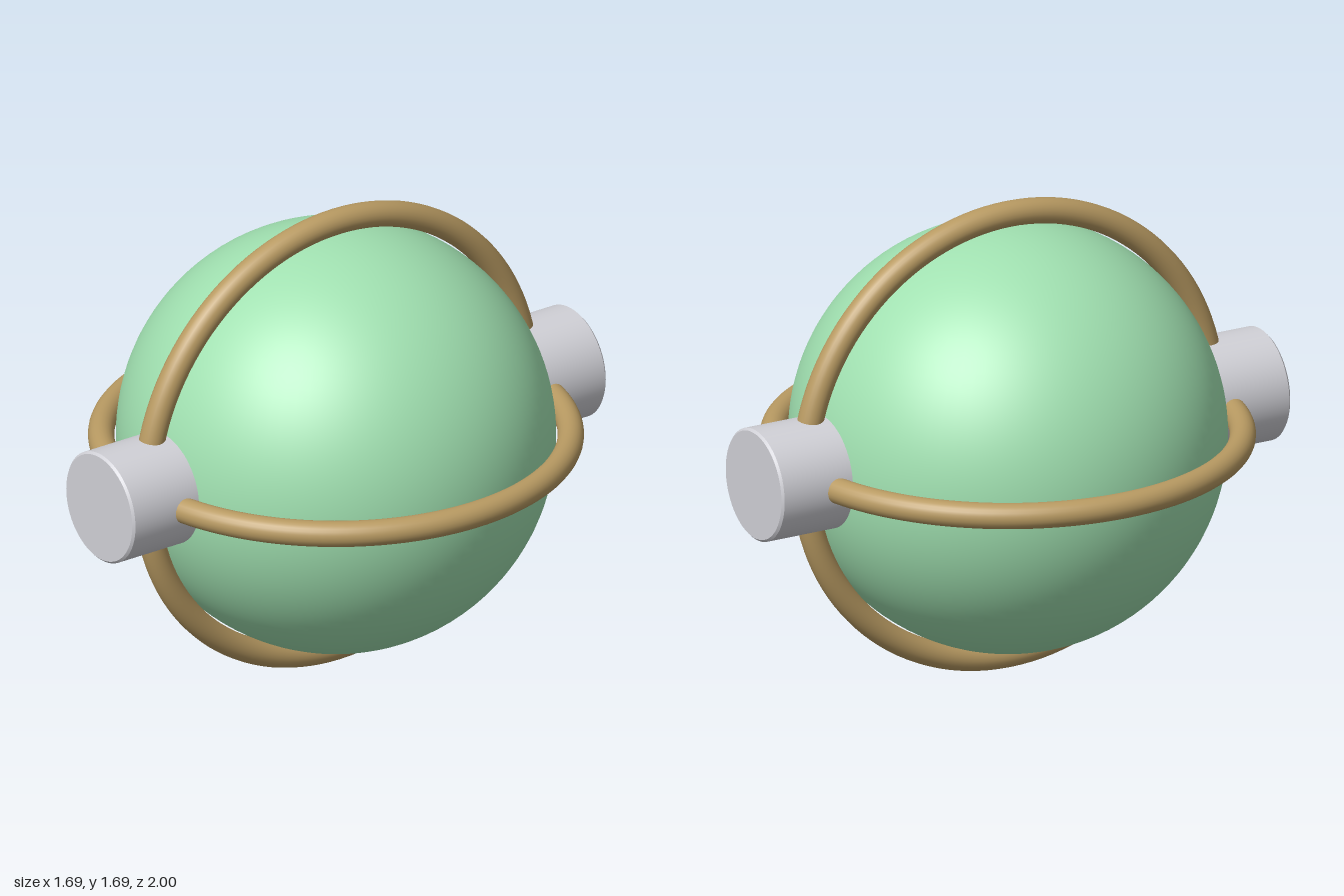
import * as THREE from 'three';
import { toCreasedNormals } from 'three/addons/utils/BufferGeometryUtils.js';

const CENTER_Y = 0.845;

export function createModel() {
  const green = new THREE.MeshStandardMaterial({ name: 'pale green', color: 0xa0e0b0 });
  const bronze = new THREE.MeshStandardMaterial({ name: 'bronze', color: 0xb89a62 });
  const silver = new THREE.MeshStandardMaterial({ name: 'silver', color: 0xd0d0d6 });

  const model = new THREE.Group();
  model.name = 'ringedSphere';
  const add = (name, geometry, material) => {
    const mesh = new THREE.Mesh(geometry, material);
    mesh.name = name;
    mesh.position.y = CENTER_Y;
    model.add(mesh);
    return mesh;
  };

  // Central ball
  add('ball', new THREE.SphereGeometry(0.75, 96, 64), green);

  // Two crossing rings just clear of the ball
  const ring = new THREE.TorusGeometry(0.8, 0.045, 24, 128);
  add('horizontalRing', ring, bronze).rotation.x = Math.PI / 2;
  add('verticalRing', ring, bronze).rotation.y = Math.PI / 2;

  // Hubs where the rings meet, with a narrow bevel on the outer rim
  const profile = [[0, 0.65], [0.198, 0.65], [0.198, 0.992], [0.19, 1], [0, 1]]
    .map(([r, h]) => new THREE.Vector2(r, h));
  const hub = toCreasedNormals(new THREE.LatheGeometry(profile, 64), 0.5);
  add('frontHub', hub, silver).rotation.x = Math.PI / 2;
  add('backHub', hub, silver).rotation.x = -Math.PI / 2;

  return model;
}
